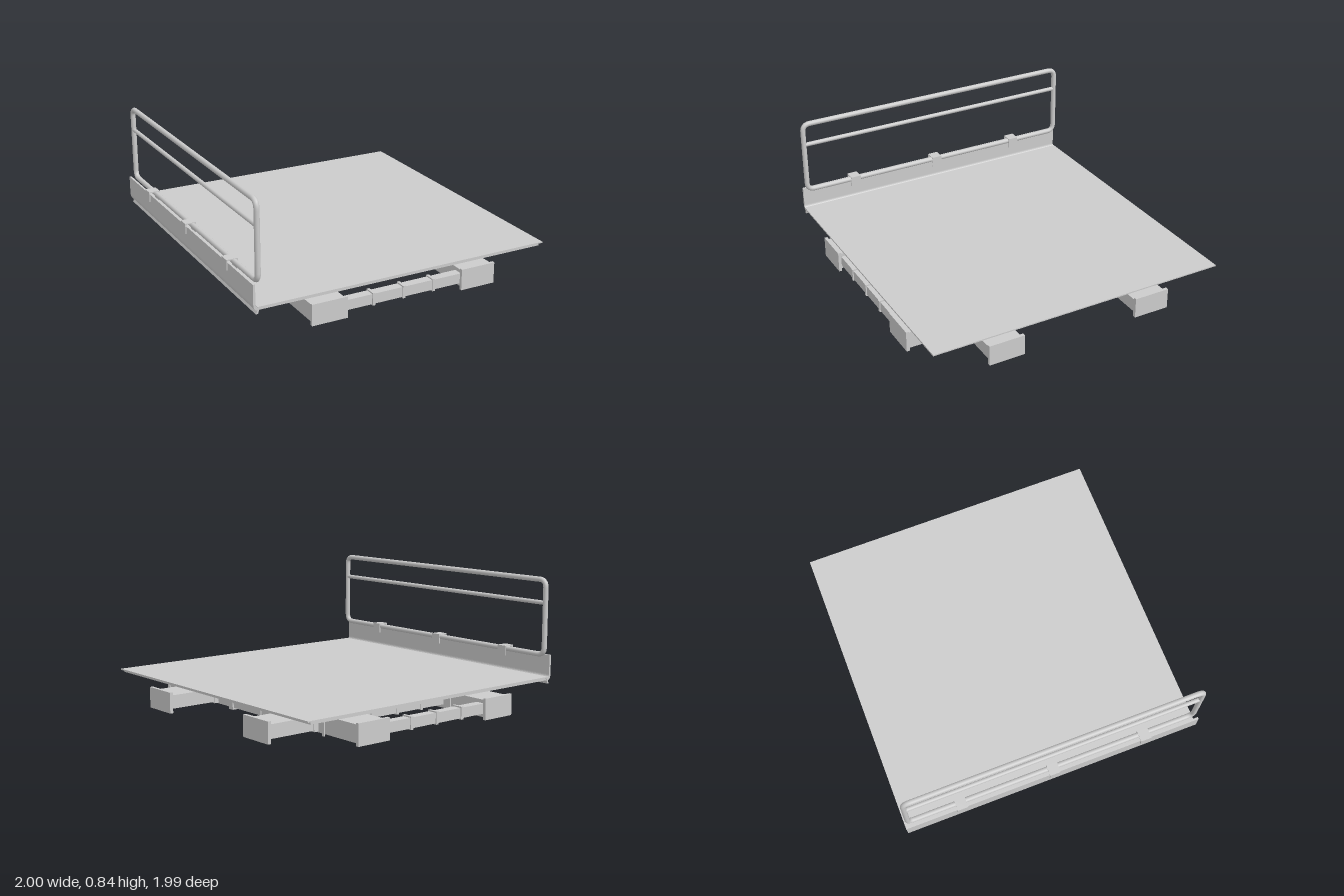
import * as THREE from 'three';

const grey = new THREE.MeshStandardMaterial({ color: 0xcccccc, side: THREE.DoubleSide });

// Box given by its minimum and maximum along each axis
function block(parent, name, [x0, x1], [y0, y1], [z0, z1]) {
  const mesh = new THREE.Mesh(new THREE.BoxGeometry(x1 - x0, y1 - y0, z1 - z0), grey);
  mesh.position.set((x0 + x1) / 2, (y0 + y1) / 2, (z0 + z1) / 2);
  mesh.name = name;
  parent.add(mesh);
}

function part(root, name) {
  const g = new THREE.Group();
  g.name = name;
  root.add(g);
  return g;
}

// Straight piece between two points
function line(path, a, b) {
  path.add(new THREE.LineCurve3(a, b));
}

function buildRail(root) {
  const rail = part(root, 'guardRail');
  const x = -0.948, zEnd = 0.968, y0 = 0.342, y1 = 0.823, r = 0.05;
  const path = new THREE.CurvePath();
  const p = (y, z) => new THREE.Vector3(x, y, z);
  // Rounded rectangle, corner by corner
  const corners = [[y0, -zEnd], [y0, zEnd], [y1, zEnd], [y1, -zEnd]];
  const toward = (a, b) => {
    const d = new THREE.Vector2(b[0] - a[0], b[1] - a[1]).setLength(r);
    return p(a[0] + d.x, a[1] + d.y);
  };
  corners.forEach((c, i) => {
    const next = corners[(i + 1) % 4], after = corners[(i + 2) % 4];
    line(path, toward(c, next), toward(next, c));
    path.add(new THREE.QuadraticBezierCurve3(toward(next, c), p(...next), toward(next, after)));
  });
  const frame = new THREE.Mesh(new THREE.TubeGeometry(path, 320, 0.017, 12, true), grey);
  frame.name = 'railFrame';
  rail.add(frame);

  const bar = new THREE.Mesh(new THREE.CylinderGeometry(0.014, 0.014, 2 * zEnd, 12), grey);
  bar.rotation.x = Math.PI / 2;
  bar.position.set(x, 0.676, 0);
  bar.name = 'railMiddleBar';
  rail.add(bar);

  // Inverted U clips holding the rail to the side board
  for (const z of [-0.62, 0, 0.62]) {
    const span = [z - 0.035, z + 0.035];
    block(rail, 'clipTop', [-1, -0.928], [0.354, 0.361], span);
    block(rail, 'clipOuterSide', [-1, -0.993], [0.295, 0.361], span);
    block(rail, 'clipInnerSide', [-0.935, -0.928], [0.295, 0.361], span);
  }
}

function buildSideBoard(root) {
  // Folded sheet: upright, rounded heel and a hanging hinge lip
  const s = new THREE.Shape();
  s.moveTo(-0.99, 0.34);
  s.lineTo(-0.99, 0.215);
  s.quadraticCurveTo(-0.988, 0.182, -0.965, 0.178);
  s.lineTo(-0.975, 0.156);
  s.lineTo(-0.962, 0.156);
  s.lineTo(-0.95, 0.19);
  s.quadraticCurveTo(-0.976, 0.195, -0.976, 0.215);
  s.lineTo(-0.976, 0.34);
  const geo = new THREE.ExtrudeGeometry(s, { depth: 1.98, bevelEnabled: false, curveSegments: 6 });
  geo.translate(0, 0, -0.99);
  const mesh = new THREE.Mesh(geo, grey);
  mesh.name = 'sideBoard';
  root.add(mesh);
}

export function createModel() {
  const root = new THREE.Group();
  root.name = 'platform';

  // Deck: thin sheet over a slightly inset slab
  const deck = part(root, 'deck');
  block(deck, 'deckSheet', [-0.965, 1], [0.193, 0.201], [-0.993, 0.993]);
  block(deck, 'deckSlab', [-0.96, 0.977], [0.178, 0.193], [-0.985, 0.985]);

  buildSideBoard(root);
  buildRail(root);

  // Lengthwise beams with end plates, bands and hanger rods up to the deck
  for (const [x0, x1] of [[-0.624, -0.39], [0.4, 0.638]]) {
    const g = part(root, 'longBeam');
    block(g, 'beamBody', [x0 + 0.008, x1 - 0.008], [0.015, 0.124], [-0.985, 0.985]);
    for (const s of [-1, 1])
      block(g, 'endPlate', [x0, x1], [0, 0.136], [s * 0.983 - 0.01, s * 0.983 + 0.01]);
    for (const z of [-0.37, 0.25])
      block(g, 'beamBand', [x0, x1], [0.002, 0.134], [z - 0.02, z + 0.02]);
    for (const x of [x0 + 0.003, x1 - 0.003])
      for (const z of [-0.68, -0.06, 0.56])
        block(g, 'hangerRod', [x - 0.005, x + 0.005], [0.002, 0.18], [z - 0.008, z + 0.008]);
  }

  // Beam stubs reaching the open side
  for (const [z0, z1] of [[-0.63, -0.39], [0.395, 0.632]]) {
    const g = part(root, 'sideBeam');
    block(g, 'stubBody', [0.63, 0.985], [0.028, 0.114], [z0 + 0.008, z1 - 0.008]);
    block(g, 'stubCollar', [0.63, 0.662], [0.02, 0.124], [z0 + 0.003, z1 - 0.003]);
    block(g, 'stubEndPlate', [0.978, 1], [0.001, 0.135], [z0, z1]);
  }

  // Banded crossbars between the long beams
  for (const [z, w] of [[-0.94, 0.03], [-0.51, 0.11], [0.51, 0.11], [0.94, 0.03]]) {
    const g = part(root, 'crossbar');
    block(g, 'crossbarBody', [-0.4, 0.41], [0.037, 0.102], [z - w, z + w]);
    for (const x of [-0.205, 0.003, 0.21])
      block(g, 'crossbarBand', [x - 0.009, x + 0.009], [0.03, 0.11], [z - w - 0.007, z + w + 0.007]);
  }
  return root;
}
